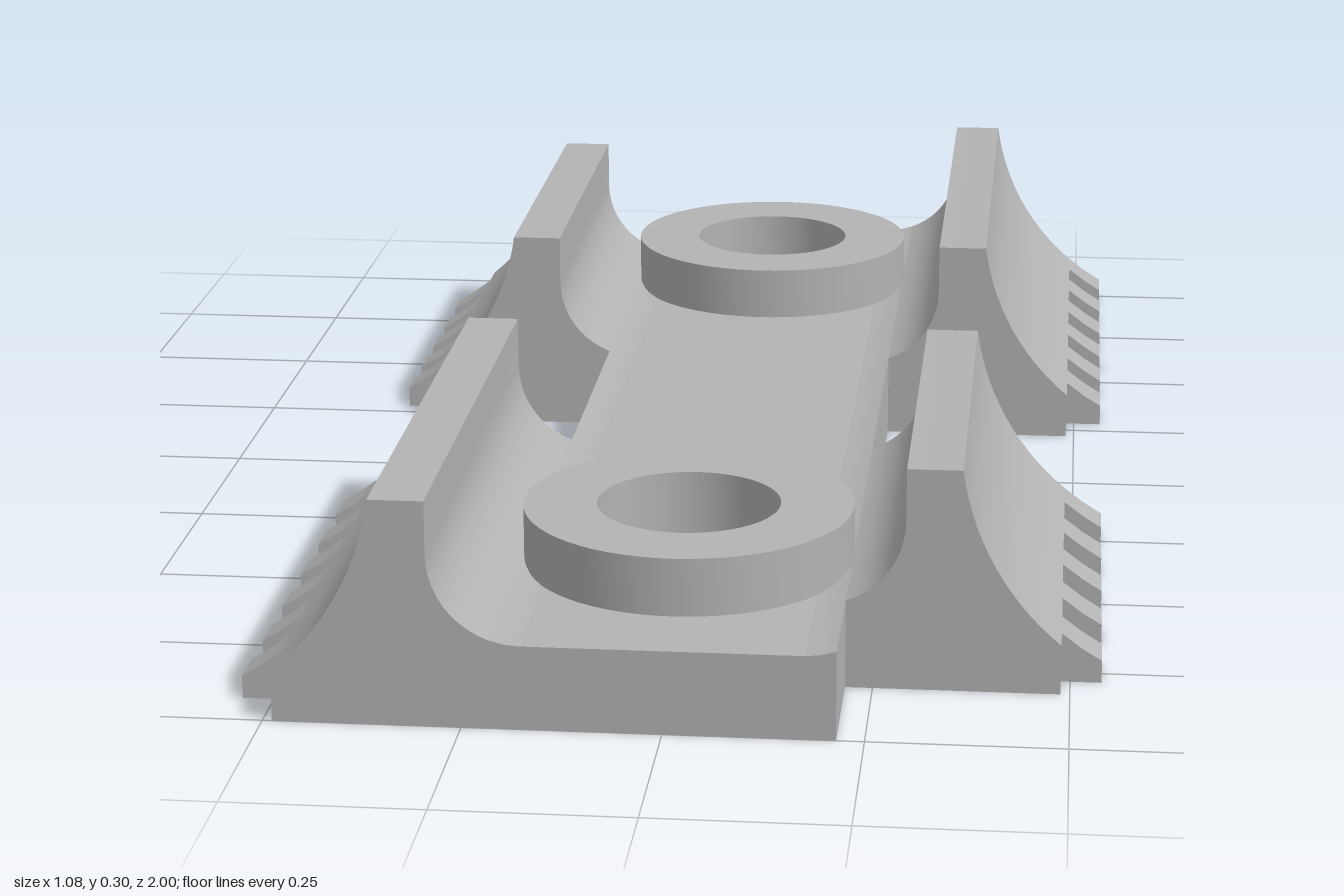
import * as THREE from 'three';
import { toCreasedNormals } from 'three/addons/utils/BufferGeometryUtils.js';

const grey = new THREE.MeshStandardMaterial({ color: 0xb3b3b3 });
grey.name = 'plain grey';

const HALF = 0.215;      // half width of the central plate
const FLOOR = 0.11;      // height of the central plate
const ROOT = 0.488;      // where the teeth meet the rail
const TIP = 0.54;        // outer end of the teeth
const RECESS = 0.077;    // depth of the recess under each boss
const BOSS_Z = 0.665;

function addMesh(parent, name, geometry) {
  const mesh = new THREE.Mesh(toCreasedNormals(geometry, 0.5), grey);
  mesh.name = name;
  parent.add(mesh);
  return mesh;
}

// Extrudes a cross-section in x and y from z0 to z1
function extrudeZ(points, z0, z1) {
  const shape = new THREE.Shape(points.map(([x, y]) => new THREE.Vector2(x, y)));
  const geometry = new THREE.ExtrudeGeometry(shape, { depth: z1 - z0, bevelEnabled: false });
  return geometry.translate(0, 0, z0);
}

// Concave outer flank of a rail, an arc about a point outside it
function flankY(x) {
  return 0.345 - Math.sqrt(0.363 ** 2 - (x - 0.72) ** 2);
}

// Rounded inner cove between the plate and the rail
function coveY(x) {
  return FLOOR + 0.115 - Math.sqrt(Math.max(0, 0.115 ** 2 - (x - 0.175) ** 2));
}

function railSection() {
  const points = [[HALF, 0], [ROOT, 0]];
  // flank, sampled by angle from foot to crest
  const a0 = Math.atan2(flankY(ROOT) - 0.345, ROOT - 0.72) + Math.PI * 2;
  const a1 = Math.PI + 0.138;
  for (let i = 0; i <= 14; i++) {
    const a = a0 + (a1 - a0) * i / 14;
    points.push([0.72 + 0.363 * Math.cos(a), 0.345 + 0.363 * Math.sin(a)]);
  }
  points.push([0.358, 0.295], [0.29, 0.295]);
  // cove, sampled from the wall down to the plate edge
  const end = -Math.acos((HALF - 0.175) / 0.115);
  for (let i = 0; i <= 10; i++) {
    const a = end * i / 10;
    points.push([0.175 + 0.115 * Math.cos(a), FLOOR + 0.115 + 0.115 * Math.sin(a)]);
  }
  return points;
}

// Rail on the +x side with a row of teeth along its foot
function makeRail(name, z0, z1, firstTooth, pitch, count, width) {
  const rail = new THREE.Group();
  rail.name = name;
  addMesh(rail, 'railBody', extrudeZ(railSection(), z0, z1));
  const mid = (ROOT + TIP) / 2;
  const tooth = [
    [ROOT, 0], [TIP, 0], [TIP, flankY(TIP)], [mid, flankY(mid)], [ROOT, flankY(ROOT)],
  ];
  for (let i = 0; i < count; i++) {
    const z = firstTooth + i * pitch;
    addMesh(rail, 'tooth', extrudeZ(tooth, z, z + width));
  }
  return rail;
}

export function createModel() {
  const model = new THREE.Group();
  model.name = 'toothedRailBase';

  // Central plate with two round openings
  const outline = new THREE.Shape([
    new THREE.Vector2(-HALF, -1), new THREE.Vector2(HALF, -1),
    new THREE.Vector2(HALF, 1), new THREE.Vector2(-HALF, 1),
  ]);
  for (const z of [-BOSS_Z, BOSS_Z]) {
    const hole = new THREE.Path();
    hole.absarc(0, z, 0.211, 0, Math.PI * 2, true);
    outline.holes.push(hole);
  }
  const plate = new THREE.ExtrudeGeometry(outline, {
    depth: FLOOR, bevelEnabled: false, curveSegments: 48,
  });
  plate.rotateX(-Math.PI / 2);
  addMesh(model, 'centralPlate', plate);

  // Raised bosses, hollow from below, with a through hole
  const bossProfile = [
    [0.211, RECESS], [0.216, RECESS], [0.216, 0.187], [0.12, 0.187], [0.12, RECESS], [0.211, RECESS],
  ].map(([r, y]) => new THREE.Vector2(r, y));
  for (const z of [-BOSS_Z, BOSS_Z]) {
    const boss = addMesh(model, 'boss', new THREE.LatheGeometry(bossProfile, 64));
    boss.position.z = z;
  }

  // Slightly raised lips along both plate edges
  const lip = [[0.175, FLOOR], [HALF, FLOOR], [HALF, coveY(HALF)], [0.195, coveY(0.195)]];
  for (const turn of [0, Math.PI]) {
    addMesh(model, 'plateLip', extrudeZ(lip, -1, 1)).rotation.y = turn;
  }

  // Long and short rails on each side; the right pair is turned half round
  model.add(makeRail('frontLeftRail', 0.215, 0.825, 0.215, 0.1265, 5, 0.06));
  model.add(makeRail('backLeftRail', -1, -0.22, -1, 0.13, 6, 0.066));
  const frontRight = makeRail('frontRightRail', -1, -0.215, -0.93, 0.122, 6, 0.058);
  const backRight = makeRail('backRightRail', 0.22, 0.825, 0.28, 0.11, 5, 0.055);
  for (const rail of [frontRight, backRight]) {
    rail.rotation.y = Math.PI;
    model.add(rail);
  }
  return model;
}
